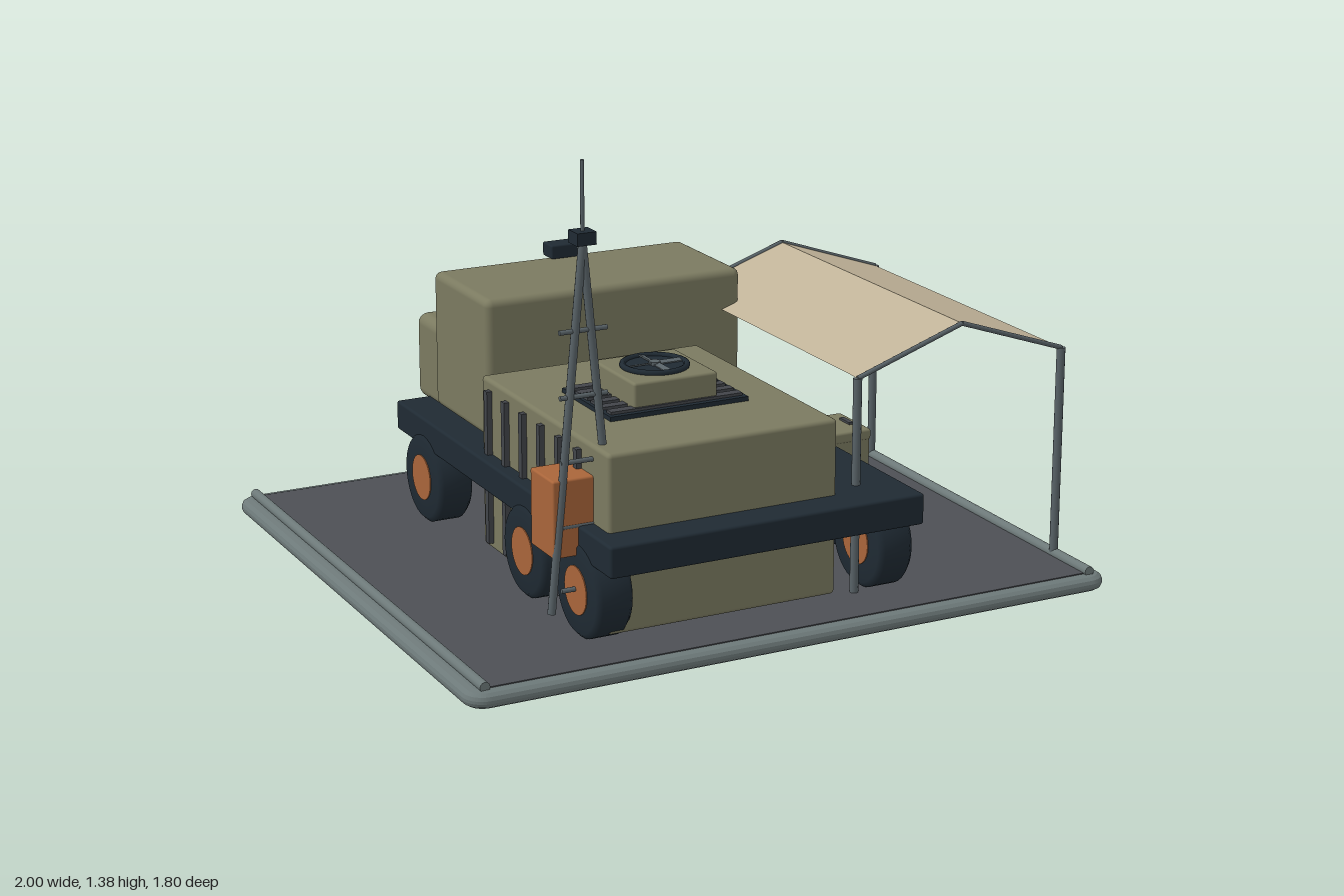
import * as THREE from 'three';
import { RoundedBoxGeometry } from 'three/addons/geometries/RoundedBoxGeometry.js';

const mat = (name, color, extra = {}) => {
  const m = new THREE.MeshStandardMaterial({ color, ...extra });
  m.name = name;
  return m;
};

export function createModel() {
  const root = new THREE.Group();
  root.name = 'fieldStation';

  const olive = mat('olive paint', 0x7b7a60);
  const navy = mat('dark navy', 0x1f2a33);
  const orange = mat('rust orange', 0xa9653a);
  const rim = mat('grey green metal', 0x6d7979);
  const deckGrey = mat('deck grey', 0x4d4f54);
  const canvas = mat('tan canvas', 0xc0b398, { side: THREE.DoubleSide });
  const rib = mat('dark grey', 0x42454a);
  const steel = mat('steel', 0x596368);
  const glass = mat('window glass', 0xa9a391);

  const add = (name, geometry, material, x = 0, y = 0, z = 0, parent = root) => {
    const m = new THREE.Mesh(geometry, material);
    m.name = name;
    m.position.set(x, y, z);
    parent.add(m);
    return m;
  };
  // Box given by its limits, rounded when r > 0
  const box = (name, material, [x0, x1], [y0, y1], [z0, z1], r = 0) => {
    const s = [x1 - x0, y1 - y0, z1 - z0];
    const g = r ? new RoundedBoxGeometry(...s, 3, r) : new THREE.BoxGeometry(...s);
    return add(name, g, material, (x0 + x1) / 2, (y0 + y1) / 2, (z0 + z1) / 2);
  };
  // Round bar between two points
  const bar = (name, material, a, b, r) => {
    const p = new THREE.Vector3(...a), q = new THREE.Vector3(...b);
    const d = q.clone().sub(p);
    const m = add(name, new THREE.CylinderGeometry(r, r, d.length(), 12), material);
    m.position.copy(p).add(q).multiplyScalar(0.5);
    m.quaternion.setFromUnitVectors(new THREE.Vector3(0, 1, 0), d.normalize());
    return m;
  };

  // Base slab with bevelled edge, deck and side rails
  const w = 0.97, d = 0.87, c = 0.03;
  const outline = new THREE.Shape();
  outline.absarc(w - c, d - c, c, 0, Math.PI / 2);
  outline.absarc(-w + c, d - c, c, Math.PI / 2, Math.PI);
  outline.absarc(-w + c, -d + c, c, Math.PI, Math.PI * 1.5);
  outline.absarc(w - c, -d + c, c, Math.PI * 1.5, Math.PI * 2);
  const slab = new THREE.ExtrudeGeometry(outline, {
    depth: 0.008, bevelThickness: 0.02, bevelSize: 0.03, bevelSegments: 3, curveSegments: 6,
  });
  slab.rotateX(-Math.PI / 2);
  add('baseSlab', slab, rim, 0, 0.02, 0);
  box('deck', deckGrey, [-0.955, 0.955], [0.044, 0.051], [-0.86, 0.86]);
  for (const s of [-1, 1]) bar('sideRail', rim, [s * 0.947, 0.056, -0.87], [s * 0.947, 0.056, 0.87], 0.015);

  // Truck chassis, container body and gap bellows
  box('chassis', navy, [-0.57, 0.4], [0.28, 0.37], [-0.63, 0.845], 0.008);
  box('container', olive, [-0.525, 0.177], [0.078, 0.59], [-0.087, 0.743], 0.012);
  box('bellows', navy, [-0.41, 0.21], [0.36, 0.47], [-0.12, -0.08]);
  for (let i = 0; i < 6; i++) {
    const z = -0.025 + i * 0.1185;
    for (const x of [0.181, -0.529]) {
      box('containerRib', rib, [x - 0.012, x + 0.012], [0.1, 0.56], [z - 0.011, z + 0.011]);
    }
  }

  // Cab and hood
  box('cab', olive, [-0.497, 0.333], [0.385, 0.8], [-0.497, -0.107], 0.022);
  box('hood', olive, [-0.465, 0.297], [0.35, 0.615], [-0.72, -0.34], 0.032);
  for (const x of [-0.332, -0.082, 0.168]) {
    box('windowFrame', navy, [x - 0.102, x + 0.102], [0.59, 0.722], [-0.512, -0.49], 0.006);
    box('windowPane', glass, [x - 0.08, x + 0.08], [0.622, 0.702], [-0.516, -0.508]);
  }

  // Roof lamp
  box('roofLamp', navy, [-0.126, -0.038], [0.8, 0.842], [-0.52, -0.455], 0.005);
  for (const x of [-0.104, -0.06]) {
    const lens = add('lampLens', new THREE.CylinderGeometry(0.014, 0.014, 0.008, 16), glass, x, 0.821, -0.523);
    lens.rotation.x = Math.PI / 2;
  }

  // Wheels: chamfered tyre with a coloured hub
  const tyre = new THREE.LatheGeometry([
    [0.06, -0.055], [0.122, -0.055], [0.137, -0.04], [0.137, 0.04], [0.122, 0.055], [0.06, 0.055],
  ].map(([r, y]) => new THREE.Vector2(r, y)), 32);
  const hub = new THREE.CylinderGeometry(0.069, 0.069, 0.116, 28);
  for (const z of [0.647, 0.3, -0.423]) {
    for (const x of [-0.522, 0.354]) {
      const wheel = new THREE.Group();
      wheel.name = 'wheel';
      wheel.position.set(x, 0.187, z);
      wheel.rotation.z = Math.PI / 2;
      root.add(wheel);
      add('tyre', tyre, navy, 0, 0, 0, wheel);
      add('hub', hub, orange, 0, 0, 0, wheel);
    }
  }

  // Roof ventilator: tray, louvres, housing and fan
  const fx = -0.175, fz = 0.325;
  box('ventTray', navy, [-0.39, 0.04], [0.588, 0.603], [0.172, 0.482]);
  for (let i = 0; i < 6; i++) {
    const z = 0.2 + i * 0.05;
    box('louvre', rib, [-0.38, 0.03], [0.6, 0.611], [z - 0.015, z + 0.015]);
  }
  box('ventHousing', olive, [-0.305, -0.045], [0.595, 0.68], [0.195, 0.457], 0.008);
  add('fanWell', new THREE.CylinderGeometry(0.09, 0.09, 0.006, 32), navy, fx, 0.681, fz);
  const ring = add('fanRing', new THREE.TorusGeometry(0.091, 0.009, 8, 36), navy, fx, 0.685, fz);
  ring.rotation.x = Math.PI / 2;
  for (let i = 0; i < 4; i++) {
    const a = i * Math.PI / 2;
    const blade = add('fanBlade', new THREE.BoxGeometry(0.075, 0.004, 0.018), steel,
      fx + Math.cos(a) * 0.045, 0.688, fz + Math.sin(a) * 0.045);
    blade.rotation.set(0.25, -a, 0, 'YXZ');
  }
  add('fanHub', new THREE.CylinderGeometry(0.017, 0.017, 0.014, 16), steel, fx, 0.687, fz);

  // Canopy: two canvas slopes on a pole frame
  const eaves = [0.27, 0.945], ridge = [0.607, 0.795], eaveY = 0.68, z0 = -0.345, z1 = 0.69;
  for (const x of eaves) {
    const g = new THREE.BufferGeometry();
    g.setAttribute('position', new THREE.Float32BufferAttribute([
      x, eaveY, z0, x, eaveY, z1, ...ridge, z1, ...ridge, z0], 3));
    g.setIndex(x < ridge[0] ? [0, 1, 2, 0, 2, 3] : [0, 2, 1, 0, 3, 2]);
    g.computeVertexNormals();
    add('canopySheet', g, canvas);
    for (const z of [z0, z1]) {
      bar('canopyPost', steel, [x, 0.05, z], [x, eaveY, z], 0.0125);
      bar('canopyRafter', steel, [x, eaveY, z], [...ridge, z], 0.007);
    }
  }

  // Supply crates with latches
  for (const [x, z] of [[0.422, -0.14], [0.672, -0.145]]) {
    box('crate', olive, [x - 0.092, x + 0.092], [0.098, 0.247], [z - 0.092, z + 0.092], 0.01);
    box('crateLid', olive, [x - 0.094, x + 0.094], [0.215, 0.25], [z - 0.094, z + 0.094], 0.008);
    for (const s of [-0.06, 0.06]) {
      box('crateLatch', rib, [x + s - 0.008, x + s + 0.008], [0.24, 0.257], [z - 0.03, z + 0.03]);
    }
  }

  // Equipment cabinet beside the mast
  box('cabinet', orange, [-0.645, -0.52], [0.285, 0.505], [0.505, 0.65], 0.006);

  // Antenna mast: two splayed legs, rungs, head and whip
  const mx = -0.55, mz = 0.645;
  for (const s of [-1, 1]) bar('mastLeg', steel, [mx, 1.15, mz], [mx + s * 0.1, 0.13, mz], 0.0115);
  for (let i = 0; i < 5; i++) {
    const y = 0.19 + i * 0.181;
    bar('mastRung', steel, [mx - 0.07, y, mz], [mx + 0.07, y, mz], 0.007);
  }
  box('mastHead', navy, [mx - 0.028, mx + 0.028], [1.15, 1.185], [mz - 0.028, mz + 0.028]);
  bar('whip', steel, [mx, 1.18, mz], [mx, 1.375, mz], 0.0055);

  return root;
}
